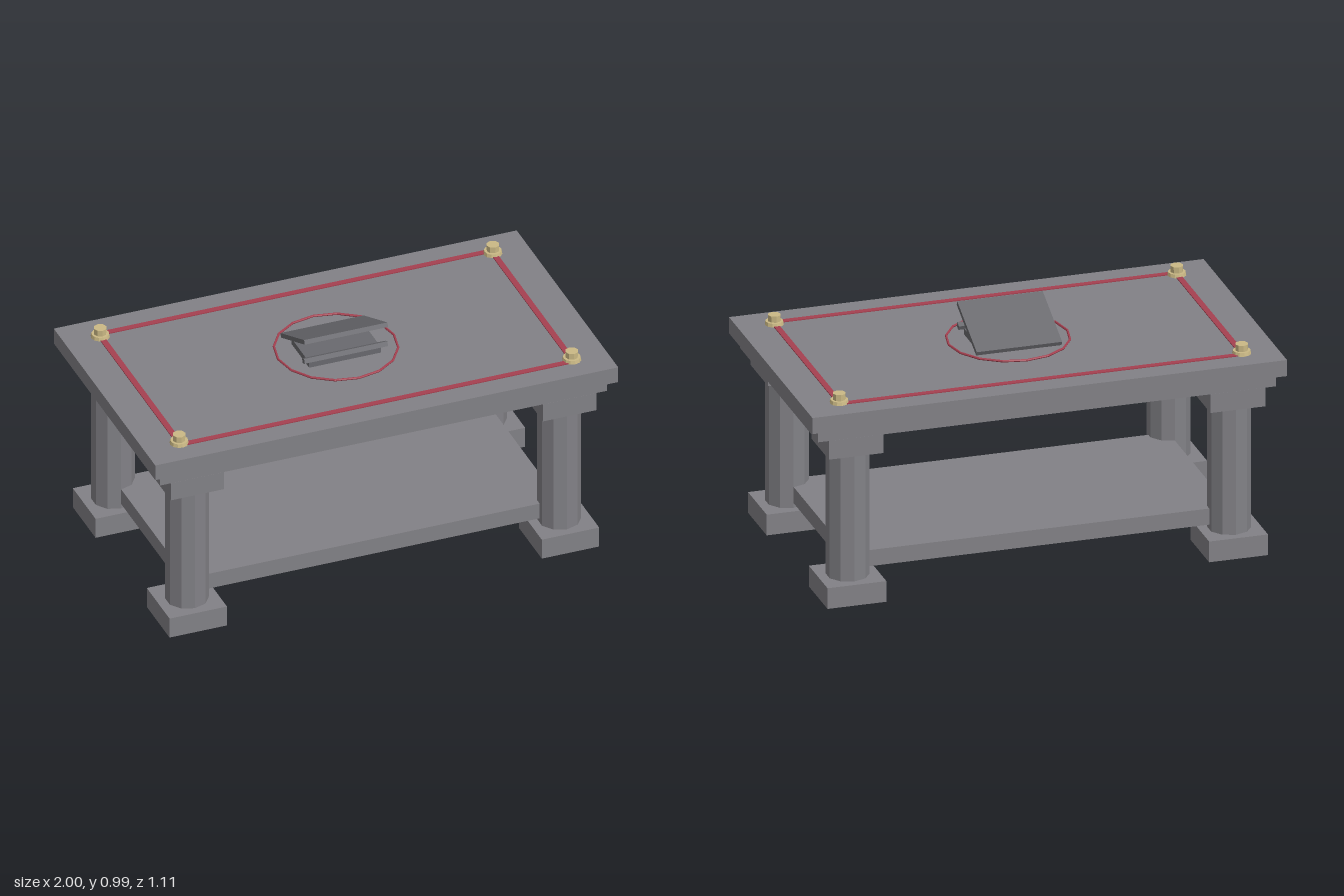
import * as THREE from 'three';

const mat = (color) => new THREE.MeshStandardMaterial({ color, flatShading: true });

export function createModel() {
  const model = new THREE.Group();
  model.name = 'stoneTable';
  const stone = mat(0x828186);
  const darkStone = mat(0x69696e);
  const red = mat(0xa54050);
  const brass = mat(0xcbb985);

  const add = (parent, name, geometry, material, x, y, z) => {
    const mesh = new THREE.Mesh(geometry, material);
    mesh.name = name;
    mesh.position.set(x, y, z);
    parent.add(mesh);
    return mesh;
  };
  // Box given by its size and the heights of its bottom and top
  const slab = (parent, name, w, d, y0, y1, x = 0, z = 0, material = stone) =>
    add(parent, name, new THREE.BoxGeometry(w, y1 - y0, d), material, x, (y0 + y1) / 2, z);

  // Stepped table top and lower shelf
  slab(model, 'tableTop', 2, 1.106, 0.78, 0.85);
  slab(model, 'apron', 1.93, 1.036, 0.726, 0.78);
  slab(model, 'shelf', 1.606, 0.808, 0.11, 0.18);

  for (const sx of [-1, 1]) {
    for (const sz of [-1, 1]) {
      // Ten-sided column with square base and capital
      const leg = new THREE.Group();
      leg.name = 'leg';
      leg.position.set(sx * 0.804, 0, sz * 0.403);
      slab(leg, 'legBase', 0.248, 0.248, 0, 0.09);
      add(leg, 'column', new THREE.CylinderGeometry(0.0885, 0.0885, 0.555, 10), stone, 0, 0.3675, 0);
      slab(leg, 'capital', 0.231, 0.231, 0.645, 0.726);
      model.add(leg);

      // Corner stud: wide flange under a small crown
      const stud = new THREE.Group();
      stud.name = 'cornerStud';
      stud.position.set(sx * 0.848, 0.85, sz * 0.43);
      add(stud, 'flange', new THREE.CylinderGeometry(0.036, 0.039, 0.015, 12), brass, 0, 0.0075, 0);
      add(stud, 'crown', new THREE.CylinderGeometry(0.027, 0.026, 0.027, 8), brass, 0, 0.0285, 0);
      model.add(stud);
    }
    // Inlaid border lines
    slab(model, 'longBorder', 1.696, 0.025, 0.848, 0.854, 0, sx * 0.446, red);
    slab(model, 'shortBorder', 0.025, 0.88, 0.848, 0.854, sx * 0.848, 0, red);
  }

  // Sixteen-sided ring around the centrepiece
  const ring = add(model, 'centreRing', new THREE.TorusGeometry(0.25, 0.005, 6, 16), red, 0, 0.855, 0);
  ring.rotation.x = Math.PI / 2;

  // Centrepiece: low plate, front bar and tilted board
  const stand = new THREE.Group();
  stand.name = 'readingStand';
  slab(stand, 'standPlate', 0.31, 0.193, 0.85, 0.876, 0, 0.002, darkStone);
  const bar = add(stand, 'frontBar', new THREE.BoxGeometry(0.36, 0.02, 0.025), darkStone, 0, 0.888, 0.099);
  const board = add(stand, 'tiltedBoard', new THREE.BoxGeometry(0.36, 0.019, 0.284), darkStone, 0, 0.924, -0.019);
  bar.rotation.x = board.rotation.x = -0.43;
  model.add(stand);

  return model;
}
